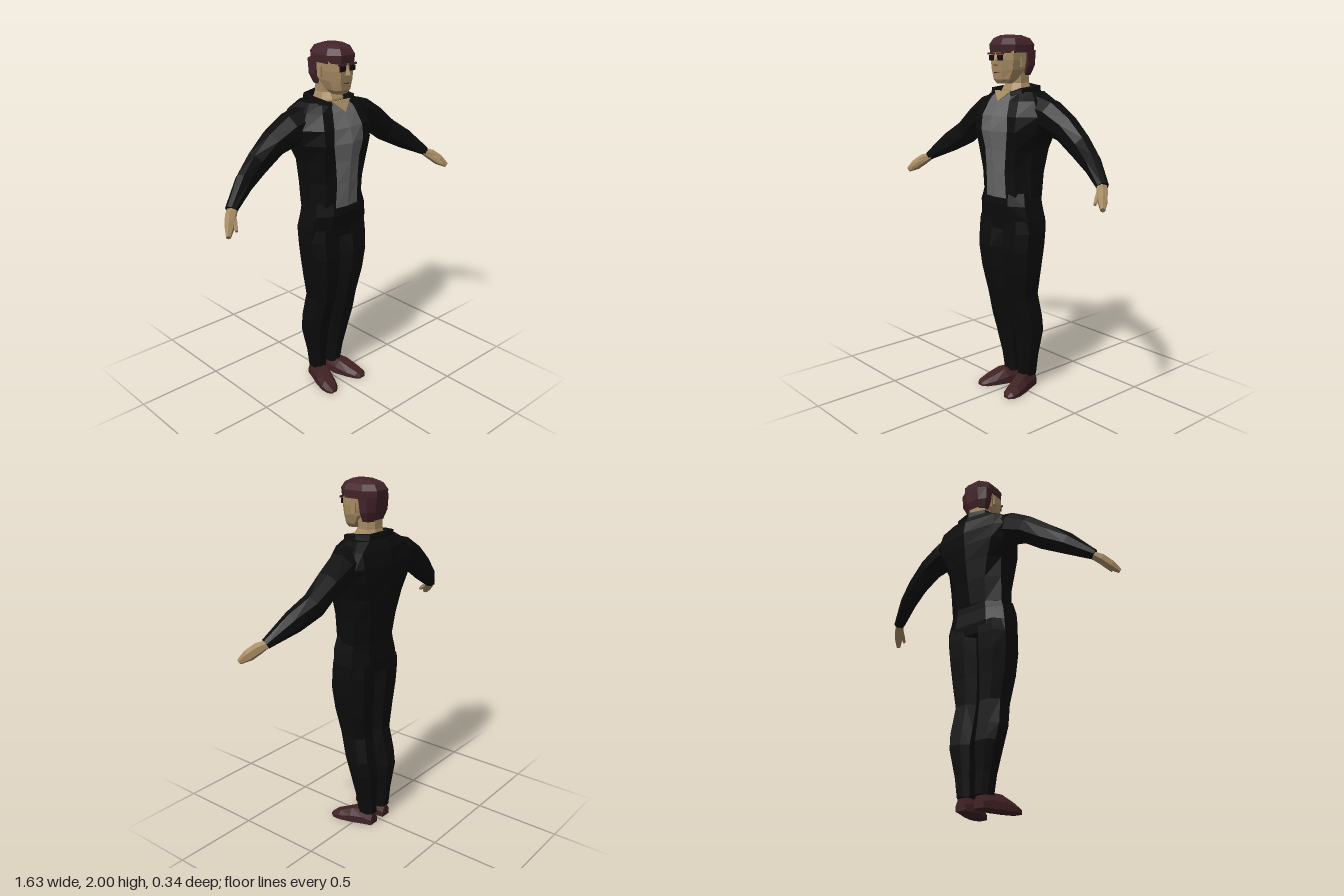
import * as THREE from 'three';

const mat = (name, color) => new THREE.MeshStandardMaterial({ name, color });

// Faceted closed skin over rings of equal length; segments in `accent` use the second material.
function loft(rings, accent = []) {
  const n = rings[0].length, main = [], extra = [];
  for (let r = 0; r < rings.length - 1; r++) {
    for (let i = 0; i < n; i++) {
      const j = (i + 1) % n, a = rings[r][i], b = rings[r][j], c = rings[r + 1][j], d = rings[r + 1][i];
      (accent.includes(i) ? extra : main).push([a, b, c], [a, c, d]);
    }
  }
  const centre = ring => [0, 1, 2].map(k => ring.reduce((s, p) => s + p[k], 0) / n);
  const first = rings[0], last = rings[rings.length - 1], c0 = centre(first), c1 = centre(last);
  for (let i = 0; i < n; i++) {
    const j = (i + 1) % n;
    main.push([c0, first[j], first[i]], [c1, last[i], last[j]]);
  }
  // turn every face outwards whichever way the rings run
  const all = [...main, ...extra];
  const volume = all.reduce((s, [a, b, c]) => s +
    a[0] * (b[1] * c[2] - b[2] * c[1]) - a[1] * (b[0] * c[2] - b[2] * c[0]) + a[2] * (b[0] * c[1] - b[1] * c[0]), 0);
  const pos = all.flatMap(([a, b, c]) => (volume < 0 ? [a, c, b] : [a, b, c]).flat());
  const g = new THREE.BufferGeometry();
  g.setAttribute('position', new THREE.Float32BufferAttribute(pos, 3));
  g.computeVertexNormals();
  if (extra.length) {
    g.addGroup(0, main.length * 3, 0);
    g.addGroup(main.length * 3, extra.length * 3, 1);
  }
  return g;
}

// Level eight-sided ring between x0..x1 and z0..z1 with chamfered corners.
function octagon(y, x0, x1, zf, zb, k = 0.5) {
  const cx = (x0 + x1) / 2, cz = (zf + zb) / 2, w = (x1 - x0) / 2, d = (zf - zb) / 2;
  return [[k, 1], [1, k], [1, -k], [k, -1], [-k, -1], [-1, -k], [-1, k], [-k, 1]]
    .map(([u, v]) => [cx + u * w, y, cz + v * d]);
}

// Limb through stations [x, y, z, halfHeight, halfDepth], mirrored by side.
function limb(stations, side, n = 8) {
  const pts = stations.map(s => new THREE.Vector3(s[0], s[1], s[2]));
  return loft(stations.map((s, i) => {
    const t = pts[Math.min(i + 1, pts.length - 1)].clone().sub(pts[Math.max(i - 1, 0)]).normalize();
    const up = new THREE.Vector3(0, 1, 0).addScaledVector(t, -t.y).normalize();
    const across = t.clone().cross(up);
    return Array.from({ length: n }, (_, k) => {
      const a = (k + 0.5) / n * Math.PI * 2;
      const p = pts[i].clone().addScaledVector(up, Math.sin(a) * s[3] * 1.06)
        .addScaledVector(across, Math.cos(a) * s[4] * 1.06);
      return [side * p.x, p.y, p.z];
    });
  }));
}

export function createModel() {
  const model = new THREE.Group();
  model.name = 'man';
  const skin = mat('skin', 0xa68b63), hair = mat('hair', 0x43242a), cloth = mat('black cloth', 0x0c0c0c),
    shirt = mat('grey shirt', 0x666666), leather = mat('shoe leather', 0x3f2123), dark = mat('eye dark', 0x140c0c);
  const add = (name, geometry, material) => {
    const m = new THREE.Mesh(geometry, material);
    m.name = name;
    model.add(m);
    return m;
  };
  const box = (name, material, size, at) => add(name, new THREE.BoxGeometry(...size), material).position.set(...at);

  // Jacket body with the shirt as its front panel: y, front z, five side points (x, z), back z
  const torso = [
    [1.14, .135, .08, .125, .13, .10, .175, .03, .175, -.05, .10, -.10, -.11],
    [1.28, .145, .075, .13, .13, .11, .175, .03, .18, -.06, .11, -.12, -.135],
    [1.40, .155, .085, .13, .15, .12, .185, .03, .19, -.07, .14, -.135, -.155],
    [1.50, .17, .105, .14, .16, .135, .225, .04, .225, -.10, .18, -.15, -.165],
    [1.58, .15, .10, .135, .16, .125, .235, .04, .24, -.12, .20, -.15, -.175],
    [1.66, .105, .08, .10, .14, .09, .20, .03, .22, -.10, .19, -.13, -.16],
    [1.705, .07, .065, .07, .11, .05, .15, 0, .16, -.07, .12, -.115, -.135],
  ].map(([y, zf, ...rest]) => {
    const zb = rest.pop(), half = [];
    for (let i = 0; i < rest.length; i += 2) half.push([rest[i], y, rest[i + 1]]);
    return [[0, y, zf], ...half, [0, y, zb], ...half.map(([x, h, z]) => [-x, h, z]).reverse()];
  });
  add('jacket and shirt', loft(torso, [0, 11]), [cloth, shirt]);

  // Standing collar, open at the front
  const collarHalf = [[.07, 1.70, .085], [.12, 1.722, .05], [.125, 1.73, -.03], [.10, 1.735, -.105]];
  const collarPath = [...collarHalf, [0, 1.742, -.13], ...collarHalf.map(([x, y, z]) => [-x, y, z]).reverse()];
  add('collar', loft(collarPath.map(([x, y, z]) => [
    [x, y, z], [x * 1.05, y - .035, z], [x * .75, y - .04, z * .8], [x * .85, y + .003, z * .9],
  ])), cloth);

  // Neck and the bare V above the shirt
  add('neck', loft([
    octagon(1.66, -.085, .085, .06, -.10), octagon(1.715, -.075, .075, .05, -.095),
    octagon(1.75, -.062, .062, .03, -.085), octagon(1.84, -.065, .065, .03, -.08),
  ]), skin);
  add('neckline', loft([
    [[0, 1.655, .113], [.064, 1.71, .078], [0, 1.71, .08], [-.064, 1.71, .078]],
    [[0, 1.655, .106], [.064, 1.71, .07], [0, 1.71, .07], [-.064, 1.71, .07]],
  ]), skin);

  // Head and hair: y, half width, front z, back z
  const rows = list => loft(list.map(([y, w, f, b]) => octagon(y, -w, w, f, b)));
  add('face', rows([[1.748, .042, .10, .03], [1.77, .062, .113, 0], [1.82, .08, .118, -.05],
    [1.87, .087, .122, -.06], [1.92, .088, .12, -.06], [1.96, .08, .10, -.05]]), skin);
  add('hair top', rows([[1.908, .093, .124, -.105], [1.95, .095, .129, -.108],
    [1.982, .078, .108, -.085], [2, .042, .07, -.035]]), hair);
  add('hair back', rows([[1.79, .066, -.01, -.08], [1.84, .088, -.005, -.097], [1.92, .093, .01, -.106]]), hair);
  add('nose', loft([
    [[-.008, 1.895, .12], [.008, 1.895, .12], [0, 1.895, .126]],
    [[-.016, 1.845, .115], [.016, 1.845, .115], [0, 1.85, .147]],
    [[-.012, 1.838, .115], [.012, 1.838, .115], [0, 1.84, .13]],
  ]), skin);
  box('mouth', hair, [.04, .004, .005], [0, 1.805, .117]);

  for (const side of [1, -1]) {
    const word = side > 0 ? 'left' : 'right';
    box(word + 'Eye', dark, [.036, .027, .009], [side * .034, 1.882, .123]);
    box(word + 'Brow', hair, [.052, .009, .009], [side * .036, 1.903, .125]);
    box(word + 'Ear', skin, [.014, .055, .028], [side * .088, 1.862, .012]);

    // Sleeve, hand and thumb
    add(word + 'Sleeve', limb([[.15, 1.60, -.035, .09, .08], [.25, 1.577, -.04, .088, .08],
      [.36, 1.525, -.045, .072, .068], [.47, 1.44, -.042, .068, .052],
      [.58, 1.375, -.005, .058, .044], [.712, 1.283, .058, .025, .03]], side), cloth);
    add(word + 'Hand', limb([[.695, 1.287, .05, .018, .025], [.735, 1.262, .085, .03, .028],
      [.77, 1.228, .12, .03, .024], [.803, 1.195, .155, .014, .012]], side, 6), skin);
    add(word + 'Thumb', limb([[.715, 1.265, .08, .014, .014], [.74, 1.24, .125, .015, .013],
      [.757, 1.215, .16, .008, .008]], side, 5), skin);

    // Trouser leg: y, inner x, outer x, front z, back z
    add(word + 'Leg', loft([
      [1.02, .002, .195, .115, -.105], [.95, .003, .20, .12, -.105], [.85, .005, .193, .13, -.10],
      [.72, .006, .178, .117, -.088], [.57, .01, .15, .09, -.082], [.43, .012, .163, .052, -.108],
      [.34, .016, .152, .03, -.125], [.18, .02, .115, .005, -.112], [.07, .016, .10, -.005, -.108],
    ].map(([y, a, b, f, k]) => octagon(y, side * a, side * b, f, k))), cloth);

    // Shoe, turned out: z, centre x, half width, height
    add(word + 'Shoe', loft([[-.105, .058, .03, .06], [-.05, .062, .045, .085], [.02, .08, .055, .082],
      [.09, .102, .052, .052], [.135, .112, .04, .034], [.157, .115, .02, .016],
    ].map(([z, x, w, h]) => [[-w, 0], [w, 0], [w, h * .5], [w * .55, h], [-w * .55, h], [-w, h * .5]]
      .map(([u, v]) => [side * (x + u), v, z]))), leather);
  }

  // Trouser hips
  add('hips', loft([[1.17, .165, .12, -.10], [1.10, .182, .132, -.10], [1.02, .197, .118, -.108], [.96, .198, .112, -.10]]
    .map(([y, w, f, b]) => octagon(y, -w, w, f, b, .55))), cloth);
  return model;
}
